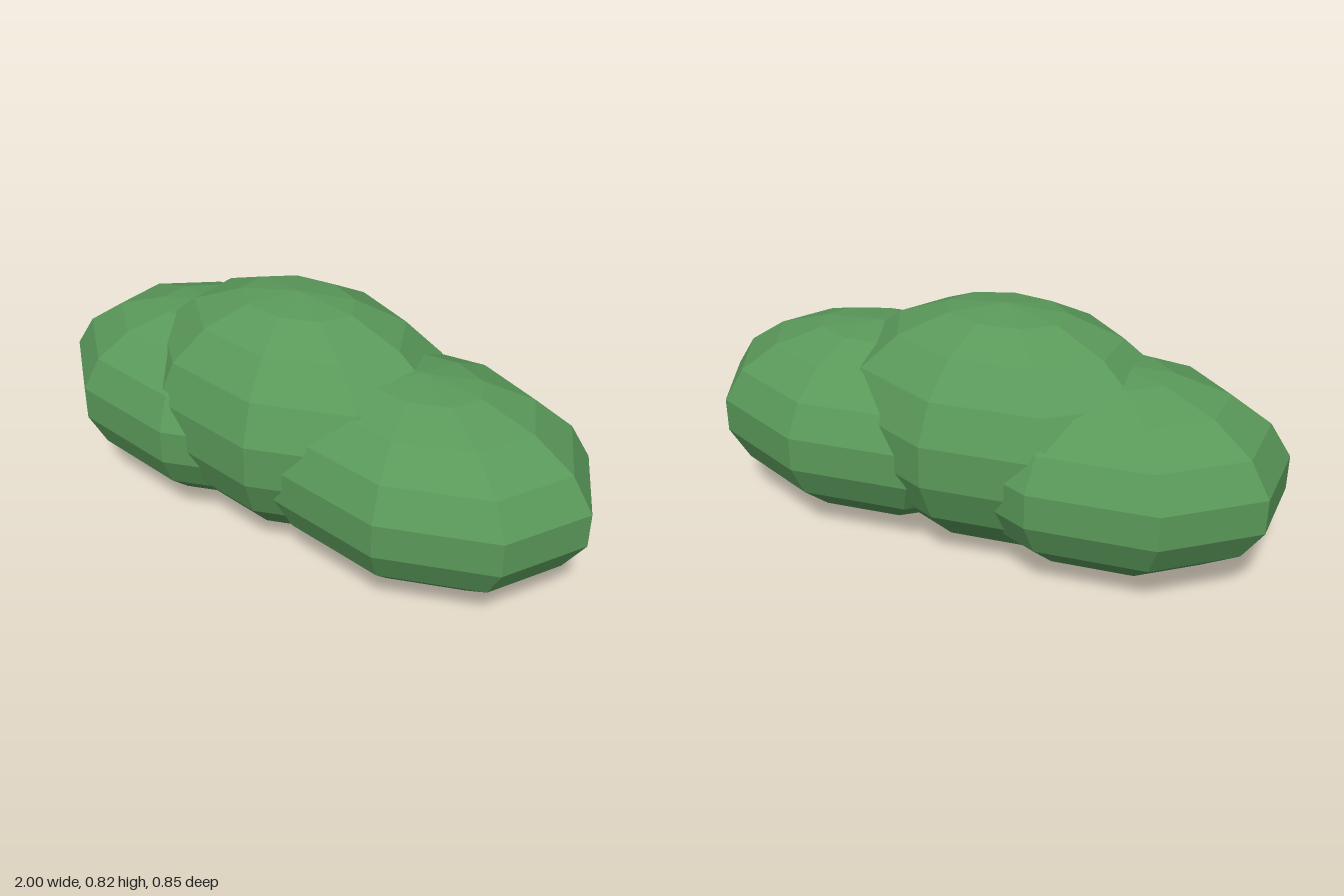
import * as THREE from 'three';

// Low-poly bush made of three overlapping squashed spheres
export function createModel() {
  const bush = new THREE.Group();
  bush.name = 'bush';
  const leaves = new THREE.MeshStandardMaterial({ color: 0x5a995a, flatShading: true });

  // Nine-sided ball, turned so a corner points to +x
  const ball = new THREE.SphereGeometry(1, 9, 9).rotateY(Math.PI);

  const addClump = (name, x, y, height) => {
    const clump = new THREE.Mesh(ball, leaves);
    clump.name = name;
    clump.position.set(x, y, 0);
    clump.scale.set(0.61, height, 0.44);
    bush.add(clump);
  };

  addClump('middleClump', -0.08, 0.413, 0.412);
  addClump('leftClump', 0.4, 0.346, 0.338);
  addClump('rightClump', -0.436, 0.346, 0.338);

  return bush;
}
